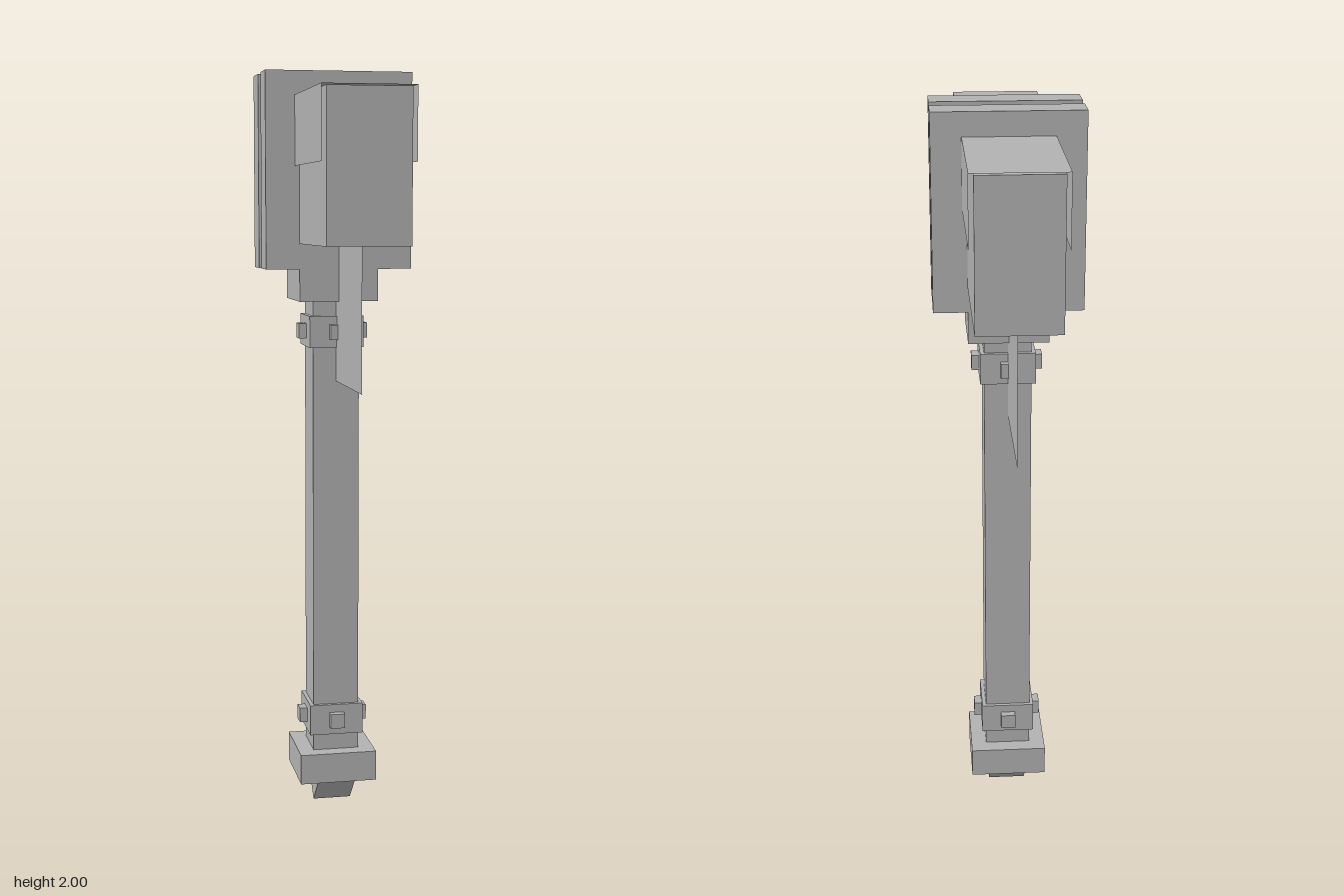
import * as THREE from 'three';

export function createModel() {
  const model = new THREE.Group();
  model.name = 'warHammer';

  const grey = new THREE.MeshStandardMaterial({ color: 0xb2b2b2, flatShading: true });
  grey.name = 'grey';
  const greySheet = new THREE.MeshStandardMaterial({ color: 0xb2b2b2, flatShading: true, side: THREE.DoubleSide });
  greySheet.name = 'grey sheet';

  // Box given by half width, bottom, top and half depth
  function box(name, hx, y0, y1, hz, z = 0, x = 0) {
    const mesh = new THREE.Mesh(new THREE.BoxGeometry(2 * hx, y1 - y0, 2 * hz), grey);
    mesh.name = name;
    mesh.position.set(x, (y0 + y1) / 2, z);
    model.add(mesh);
    return mesh;
  }

  // Flat sheet facing sideways, spanning z and y
  function sideSheet(name, x, y0, y1, z0, z1) {
    const mesh = new THREE.Mesh(new THREE.PlaneGeometry(z1 - z0, y1 - y0), greySheet);
    mesh.name = name;
    mesh.rotation.y = x < 0 ? -Math.PI / 2 : Math.PI / 2;
    mesh.position.set(x, (y0 + y1) / 2, (z0 + z1) / 2);
    model.add(mesh);
  }

  // Pommel: a cube turned on its edge under a square foot
  const tip = 0.083;
  const side = tip * Math.SQRT2;
  const spike = box('pommelSpike', 0.052, tip - side / 2, tip + side / 2, side / 2);
  spike.rotation.x = Math.PI / 4;
  box('pommelFoot', 0.105, 0.083, 0.165, 0.105);

  // Shaft
  box('shaft', 0.0625, 0.165, 1.405, 0.0625);

  // Collars with a stud on each side
  for (const [label, y] of [['lower', 0.2525], ['upper', 1.3225]]) {
    box(label + 'Collar', 0.073, y - 0.042, y + 0.042, 0.073);
    for (const s of [-1, 1]) {
      box(label + 'SideStud', 0.0125, y - 0.02, y + 0.02, 0.02, 0, s * 0.081);
      box(label + 'EndStud', 0.02, y - 0.02, y + 0.02, 0.0125, s * 0.081);
    }
  }

  // Neck and hub: two slabs around a recessed core
  box('neck', 0.105, 1.405, 1.49, 0.105);
  box('neckTenon', 0.105, 1.49, 1.515, 0.024);
  box('hubCore', 0.17, 1.515, 1.98, 0.024);
  for (const s of [-1, 1]) box('hubSlab', 0.194, 1.49, 2, 0.0415, s * 0.0645);

  // Hammer head
  box('hammerHead', 0.105, 1.556, 1.934, 0.49);

  // Thin cover draped over the top half of the head
  const cover = new THREE.Mesh(new THREE.PlaneGeometry(0.234, 0.98), greySheet);
  cover.name = 'headCoverTop';
  cover.rotation.x = -Math.PI / 2;
  cover.position.y = 1.938;
  model.add(cover);
  for (const s of [-1, 1]) sideSheet('headCoverSide', s * 0.117, 1.757, 1.938, -0.49, 0.49);

  // Hanging banner below the head
  sideSheet('banner', 0, 1.19, 1.556, -0.425, 0.405);

  return model;
}
